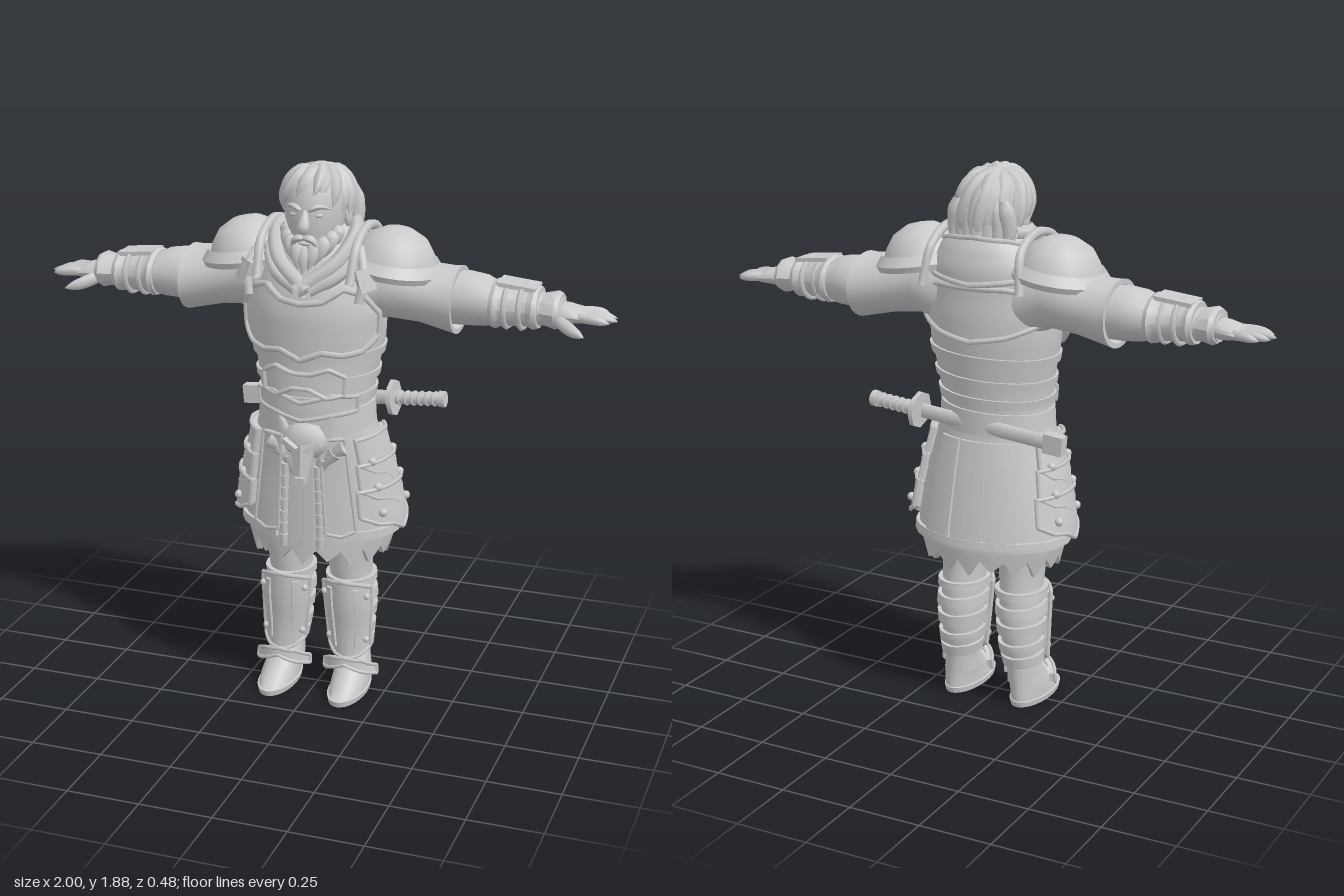
import * as THREE from 'three';
import { toCreasedNormals } from 'three/addons/utils/BufferGeometryUtils.js';

const stone = new THREE.MeshStandardMaterial({ color: 0xcacaca, side: THREE.DoubleSide });
stone.name = 'plain grey';
const V = (x, y, z) => new THREE.Vector3(x, y, z);

function add(parent, name, geo, pos = [0, 0, 0], rot = [0, 0, 0], scale = [1, 1, 1]) {
  const m = new THREE.Mesh(geo, stone);
  m.name = name;
  m.position.set(...pos); m.rotation.set(...rot); m.scale.set(...scale);
  parent.add(m);
  return m;
}
function build(points, index, crease = 0.7) {
  const g = new THREE.BufferGeometry().setFromPoints(points);
  g.setIndex(index);
  return toCreasedNormals(g, crease);
}
function grid(index, cols, rows, start = 0) {
  for (let j = 0; j < rows; j++) for (let i = 0; i < cols; i++) {
    const a = start + j * (cols + 1) + i, b = a + cols + 1;
    index.push(a, a + 1, b + 1, a, b + 1, b);
  }
}
// Closed body of elliptical rings; rows are [t, radiusA, radiusZ, centreZ, centreA]
function loft(rows, axis = 'y', n = 28) {
  const pts = [], idx = [];
  const at = (t, a, z) => axis === 'y' ? V(a, t, z) : V(t, -a, z);
  for (const [t, ra, rz, cz, ca = 0] of rows) for (let i = 0; i <= n; i++) {
    const w = (i % n) / n * Math.PI * 2;
    pts.push(at(t, ra * Math.sin(w) + (axis === 'y' ? ca : -ca), cz + rz * Math.cos(w)));
  }
  grid(idx, n, rows.length - 1);
  [rows[0], rows[rows.length - 1]].forEach(([t, , , cz, ca = 0], k) => {
    const c = pts.push(at(t, axis === 'y' ? ca : -ca, cz)) - 1, s = k * (rows.length - 1) * (n + 1);
    for (let i = 0; i < n; i++) k ? idx.push(c, s + i, s + i + 1) : idx.push(c, s + i + 1, s + i);
  });
  return build(pts, idx);
}
// Point on a lofted body, at an angle from the front and a height
const surface = rows => (a, y, off = 0) => {
  let k = 0;
  while (k < rows.length - 2 && y > rows[k + 1][0]) k++;
  const A = rows[k], B = rows[k + 1], u = THREE.MathUtils.clamp((y - A[0]) / (B[0] - A[0]), 0, 1);
  const m = i => THREE.MathUtils.lerp(A[i] ?? 0, B[i] ?? 0, u);
  return V(m(4) + (m(1) + off) * Math.sin(a), y, m(3) + (m(2) + off) * Math.cos(a));
};
const pick = (list, u) => {
  const f = u * (list.length - 1), i = Math.min(Math.floor(f), list.length - 2);
  return i < 0 ? list[0] : list[i] + (list[i + 1] - list[i]) * (f - i);
};
// Armour plate that follows a body, with top and bottom edges as height lists
function plate(parent, name, surf, a0, a1, top, bottom, off, trim = 0, cols = 24, t = 0.02) {
  const pts = [], idx = [], edge = [], rows = 6;
  for (let j = -1; j <= rows + 1; j++) for (let i = -1; i <= cols + 1; i++) {
    const ci = THREE.MathUtils.clamp(i, 0, cols), cj = THREE.MathUtils.clamp(j, 0, rows), u = ci / cols;
    const y = THREE.MathUtils.lerp(pick(bottom, u), pick(top, u), cj / rows);
    pts.push(surf(a0 + (a1 - a0) * u, y, ci === i && cj === j ? off : off - t));
  }
  grid(idx, cols + 2, rows + 2);
  add(parent, name, build(pts, idx, 0.6));
  if (!trim) return;
  for (let i = 0; i <= cols; i++) edge.push(surf(a0 + (a1 - a0) * i / cols, pick(bottom, i / cols), off));
  for (let i = cols; i >= 0; i--) edge.push(surf(a0 + (a1 - a0) * i / cols, pick(top, i / cols), off));
  const path = new THREE.CatmullRomCurve3(edge, true, 'catmullrom', 0.05);
  add(parent, name + 'Trim', new THREE.TubeGeometry(path, 110, trim, 5, true));
}
// Tapering strand used for hair, beard and fingers
function lock(parent, name, points, r, blunt = 2) {
  const c = new THREE.CatmullRomCurve3(points.map(p => V(...p))), n = 12;
  const g = new THREE.TubeGeometry(c, n, r, 7), p = g.attributes.position, v = V(0, 0, 0);
  for (let i = 0; i < p.count; i++) {
    const u = Math.floor(i / 8) / n, o = c.getPointAt(u);
    const k = Math.max(0.03, (1 - u ** blunt) * Math.min(1, 0.45 + 3 * u));
    v.fromBufferAttribute(p, i).sub(o).multiplyScalar(k).add(o);
    p.setXYZ(i, v.x, v.y, v.z);
  }
  g.computeVertexNormals();
  add(parent, name, g);
}
const rod = (parent, name, points, r, sides = 6) => add(parent, name,
  new THREE.TubeGeometry(new THREE.CatmullRomCurve3(points.map(p => V(...p))), 24, r, sides));
const box = (w, h, d) => new THREE.BoxGeometry(w, h, d);

const skirtRows = [[0.5, 0.24, 0.19, -0.035], [0.61, 0.272, 0.195, -0.04], [0.68, 0.268, 0.19, -0.035],
  [0.85, 0.24, 0.175, -0.02], [1.0, 0.205, 0.165, 0], [1.05, 0.195, 0.16, 0]];
const torsoRows = [[1.0, 0.195, 0.165, 0], [1.08, 0.19, 0.165, 0], [1.2, 0.21, 0.17, -0.01], [1.3, 0.23, 0.18, -0.015],
  [1.4, 0.235, 0.183, -0.015], [1.48, 0.22, 0.172, -0.02], [1.56, 0.2, 0.155, -0.04], [1.63, 0.15, 0.13, -0.045], [1.68, 0.1, 0.1, -0.04]];
const legRows = [[0.08, 0.06, 0.07, -0.035, 0.125], [0.14, 0.055, 0.068, -0.04, 0.122], [0.22, 0.064, 0.078, -0.05, 0.117],
  [0.34, 0.076, 0.09, -0.045, 0.115], [0.42, 0.072, 0.088, -0.04, 0.112], [0.5, 0.078, 0.095, -0.03, 0.11], [0.66, 0.1, 0.1, -0.03, 0.12]];

function makeArm() {
  const g = new THREE.Group();
  g.name = 'arm';
  add(g, 'sleeve', loft([[0.1, 0.15, 0.13, -0.04, 1.44], [0.24, 0.115, 0.13, -0.05, 1.48], [0.35, 0.1, 0.12, -0.06, 1.455],
    [0.45, 0.108, 0.132, -0.06, 1.44], [0.475, 0.112, 0.137, -0.06, 1.438], [0.475, 0.095, 0.12, -0.06, 1.438], [0.44, 0.08, 0.1, -0.06, 1.44]], 'x'));
  add(g, 'forearm', loft([[0.4, 0.085, 0.09, -0.065, 1.44], [0.5, 0.09, 0.1, -0.068, 1.445], [0.56, 0.084, 0.096, -0.065, 1.443],
    [0.6, 0.07, 0.085, -0.06, 1.437], [0.72, 0.056, 0.07, -0.055, 1.435], [0.82, 0.045, 0.055, -0.055, 1.43]], 'x'));
  add(g, 'bracer', loft([[0.59, 0.078, 0.1, -0.06, 1.44], [0.605, 0.084, 0.106, -0.06, 1.44], [0.62, 0.074, 0.094, -0.06, 1.44],
    [0.71, 0.064, 0.078, -0.055, 1.437], [0.73, 0.074, 0.088, -0.055, 1.437], [0.745, 0.068, 0.08, -0.055, 1.437]], 'x', 12));
  add(g, 'bracerPlate', box(0.13, 0.014, 0.1), [0.67, 1.508, -0.06], [0, 0, -0.1]);
  for (const x of [0.64, 0.69]) add(g, 'bracerStrap', new THREE.TorusGeometry(0.075, 0.01, 5, 20), [x, 1.437, -0.056], [0, Math.PI / 2, 0], [1.15, 0.95, 1]);
  add(g, 'gloveCuff', loft([[0.75, 0.05, 0.066, -0.055, 1.435], [0.8, 0.062, 0.08, -0.055, 1.435], [0.815, 0.055, 0.07, -0.055, 1.435]], 'x', 10));
  add(g, 'palm', loft([[0.79, 0.036, 0.05, -0.055, 1.43], [0.84, 0.032, 0.062, -0.058, 1.428], [0.885, 0.023, 0.062, -0.062, 1.424], [0.9, 0.014, 0.056, -0.062, 1.422]], 'x', 16));
  [[0.965, -0.118], [0.992, -0.084], [1, -0.047], [0.98, -0.01]].forEach(([x, z]) =>
    lock(g, 'finger', [[0.86, 1.427, -0.055 + (z + 0.06) * 0.75], [0.93, 1.424, z], [x, 1.416, z]], 0.016, 6));
  lock(g, 'thumb', [[0.8, 1.42, -0.02], [0.86, 1.395, 0.025], [0.91, 1.38, 0.05]], 0.022, 5);
  // Shoulder dome with a flared, raised rim
  const dome = [[0, 0.135], [0.05, 0.128], [0.1, 0.1], [0.128, 0.06], [0.138, 0.035], [0.146, 0.04], [0.172, 0.008], [0.165, -0.012], [0.13, 0]];
  const pad = new THREE.LatheGeometry(dome.map(p => new THREE.Vector2(...p)), 32);
  add(g, 'shoulderPad', toCreasedNormals(pad, 0.6), [0.25, 1.535, -0.045], [0, 0, -0.14], [0.98, 1, 1.02]);
  rod(g, 'shoulderBand', [[0.16, 1.51, 0.15], [0.165, 1.63, 0.09], [0.165, 1.67, -0.04], [0.165, 1.62, -0.16], [0.18, 1.49, -0.2]], 0.016);
  add(g, 'shoulderBuckle', box(0.055, 0.075, 0.03), [0.205, 1.525, 0.125], [-0.3, 0.6, 0.4]);
  rod(g, 'chestStrap', [[0.17, 1.62, 0.07], [0.2, 1.54, 0.125], [0.19, 1.45, 0.145]], 0.016);
  return g;
}

function makeLeg() {
  const g = new THREE.Group(), surf = surface(legRows);
  g.name = 'leg';
  add(g, 'shin', loft(legRows));
  add(g, 'shoe', loft([[0, 0.064, 0.143, 0.033, 0.13], [0.02, 0.068, 0.147, 0.033, 0.13], [0.022, 0.063, 0.14, 0.03, 0.13], [0.05, 0.062, 0.125, 0.015, 0.13],
    [0.08, 0.06, 0.095, -0.012, 0.127], [0.14, 0.056, 0.07, -0.04, 0.123]]));
  for (const y of [0.17, 0.22, 0.29, 0.355])
    plate(g, 'calfBand', surf, 1.1, 5.2, [y + 0.024, y + 0.016, y + 0.024], [y - 0.014, y - 0.024, y - 0.014], 0.013);
  plate(g, 'kneeCuff', surf, 0, Math.PI * 2, [0.43], [0.405], 0.016);
  plate(g, 'shinGuard', surf, -1.1, 1.1, [0.4, 0.42, 0.43, 0.42, 0.4], [0.17, 0.14, 0.13, 0.14, 0.17], 0.025, 0.008);
  for (const a of [-0.5, 0.5]) plate(g, 'shinGuardRib', surf, a - 0.1, a + 0.1, [0.4], [0.17], 0.034);
  plate(g, 'ankleGuard', surf, -1.2, 1.2, [0.1, 0.13, 0.14, 0.13, 0.1], [0.07, 0.09, 0.115, 0.09, 0.07], 0.045, 0.007);
  for (const s of [-1, 1]) for (const y of [0.2, 0.37])
    add(g, 'shinStud', new THREE.SphereGeometry(0.012, 10, 8), surf(s * 0.85, y, 0.028).toArray());
  return g;
}

function makeHead() {
  const g = new THREE.Group();
  g.name = 'head';
  add(g, 'face', loft([[1.5, 0.08, 0.08, -0.04], [1.59, 0.075, 0.085, -0.02], [1.61, 0.07, 0.1, 0.015], [1.65, 0.085, 0.105, 0.02],
    [1.7, 0.098, 0.113, 0.015], [1.77, 0.1, 0.118, 0.012], [1.83, 0.09, 0.1, 0], [1.86, 0.05, 0.06, 0]]));
  lock(g, 'nose', [[0, 1.665, 0.145], [0, 1.69, 0.142], [0, 1.755, 0.118]], 0.022);
  add(g, 'lips', new THREE.SphereGeometry(0.02, 12, 8), [0, 1.632, 0.128], [0, 0, 0], [1.2, 0.4, 0.6]);
  add(g, 'hairCap', new THREE.SphereGeometry(1, 24, 16), [0, 1.735, -0.035], [0, 0, 0], [0.112, 0.135, 0.115]);
  for (const s of [-1, 1]) {
    lock(g, 'eyebrow', [[s * 0.012, 1.74, 0.13], [s * 0.045, 1.753, 0.12], [s * 0.08, 1.74, 0.088]], 0.011);
    add(g, 'eye', new THREE.SphereGeometry(0.013, 12, 8), [s * 0.04, 1.723, 0.113], [0, 0, 0], [1.3, 0.6, 0.7]);
    add(g, 'ear', new THREE.SphereGeometry(0.03, 12, 8), [s * 0.104, 1.7, -0.005], [0, 0, 0], [0.4, 1.1, 0.7]);
    lock(g, 'moustache', [[0, 1.652, 0.138], [s * 0.03, 1.645, 0.136], [s * 0.05, 1.6, 0.12]], 0.014);
  }
  // Beard locks fan around the jaw and gather at the chin
  for (let i = -4; i <= 4; i++) {
    const a = i * 0.33, s = Math.sin(a), c = Math.cos(a), d = Math.abs(i) * 0.014;
    lock(g, 'beardLock', [[s * 0.092, 1.615 + d * 1.2, 0.025 + c * 0.085], [s * 0.085, 1.585 + d, 0.03 + c * 0.105], [s * 0.05, 1.53 + d, 0.03 + c * 0.125]], 0.027);
  }
  // Hair sweeps out from the crown, short in front and long behind
  for (const [count, width, lift, turn] of [[15, 0.036, 0, 0], [11, 0.03, 0.012, 0.25]]) for (let i = 0; i < count; i++) {
    const w = i / count * Math.PI * 2 + turn, back = (1 - Math.cos(w)) / 2, end = 0.95 + 1.0 * Math.sqrt(back);
    const pts = [0.12, 0.45, 0.75, 1].map(u => {
      const f = u * end, tw = w + (1 - u) * 0.55, r = Math.sin(Math.min(f, 1.6));
      return [r * (0.105 + lift) * Math.sin(tw), 1.715 + (0.133 + lift) * Math.cos(f) - Math.max(0, f - 1.6) * 0.15, -0.008 + r * (0.135 + lift) * Math.cos(tw)];
    });
    lock(g, 'hairLock', pts, width, 3);
  }
  for (let i = -3; i <= 3; i++) lock(g, 'napeLock',
    [[i * 0.028, 1.78, -0.125], [i * 0.033, 1.67, -0.15 + Math.abs(i) * 0.012], [i * 0.026, 1.55 + Math.abs(i) * 0.012, -0.165 + Math.abs(i) * 0.01]], 0.03, 3);
  return g;
}

function makeBeltMask() {
  const g = new THREE.Group();
  g.name = 'wolfBuckle';
  add(g, 'wolfSkull', new THREE.IcosahedronGeometry(0.075, 1), [0, 0.97, 0.165], [0, 0, 0], [1.1, 0.9, 0.65]);
  const muzzle = add(g, 'wolfMuzzle', toCreasedNormals(new THREE.CylinderGeometry(0.05, 0.024, 0.13, 6), 0.4), [0, 0.9, 0.198], [-0.2, 0, 0]);
  muzzle.scale.z = 0.7;
  add(g, 'wolfNose', box(0.034, 0.026, 0.026), [0, 0.845, 0.222]);
  for (const s of [-1, 1]) {
    add(g, 'wolfEar', new THREE.ConeGeometry(0.035, 0.1, 4), [s * 0.078, 1.025, 0.165], [0, 0, -s * 0.45], [1, 1, 0.5]);
    add(g, 'wolfBrow', box(0.06, 0.018, 0.025), [s * 0.038, 0.965, 0.213], [0, s * 0.3, s * 0.45]);
    for (let k = 0; k < 3; k++) add(g, 'wolfCheek', new THREE.ConeGeometry(0.026, 0.1, 4),
      [s * (0.09 - k * 0.022), 0.93 - k * 0.035, 0.165], [0, 0, s * (2.1 + k * 0.35)], [1, 1, 0.6]);
  }
  g.position.x = 0.015;
  return g;
}

export function createModel() {
  const root = new THREE.Group(), torso = surface(torsoRows), skirt = surface(skirtRows), full = Math.PI * 2;
  root.name = 'armouredWarrior';
  add(root, 'torso', loft(torsoRows, 'y', 40));
  add(root, 'skirt', loft(skirtRows.slice(1), 'y', 40));
  // Breastplate, belly plates and back plate
  plate(root, 'breastplate', torso, -1.2, 1.2, [1.4, 1.47, 1.49, 1.45, 1.44, 1.45, 1.49, 1.47, 1.4],
    [1.33, 1.28, 1.27, 1.28, 1.25, 1.28, 1.27, 1.28, 1.33], 0.016, 0.011, 32);
  plate(root, 'bellyPlate', torso, -0.7, 0.7, [1.19, 1.22, 1.2, 1.2, 1.22, 1.19], [1.13, 1.12, 1.15, 1.15, 1.12, 1.13], 0.014, 0.009);
  plate(root, 'lowerBellyPlate', torso, -1, 1, [1.12, 1.13, 1.1, 1.13, 1.12], [1.07, 1.06, 1.04, 1.06, 1.07], 0.012, 0.008);
  plate(root, 'backPlate', torso, 2.1, 4.18, [1.48, 1.5, 1.5, 1.5, 1.48], [1.38, 1.34, 1.32, 1.34, 1.38], 0.014, 0.01);
  for (const [y, h] of [[1.25, 0.015], [1.17, 0.013], [1.1, 0.018], [1.05, 0.02], [1.01, 0.022]])
    plate(root, 'waistBand', torso, 0.01, full + 0.01, [y + h, y + h + 0.012, y + h - 0.008, y + h], [y - h, y - h + 0.012, y - h - 0.008, y - h], 0.009, 0, 40);
  // Wrapped collar
  for (const s of [-1, 1]) {
    rod(root, 'lapel', [[s * 0.1, 1.67, -0.09], [s * 0.135, 1.65, 0.01], [s * 0.1, 1.57, 0.1], [-s * 0.02, 1.48, 0.165]], 0.026);
    rod(root, 'scarf', [[s * 0.11, 1.6, -0.1], [s * 0.155, 1.6, 0.02], [s * 0.11, 1.53, 0.11], [s * 0.02, 1.48, 0.15]], 0.022);
  }
  plate(root, 'collar', torso, 1.5, 4.78, [1.62, 1.65, 1.66, 1.65, 1.62], [1.55, 1.53, 1.51, 1.53, 1.55], 0.016, 0.01);
  // Ragged underskirt and hem
  const ragged = Array.from({ length: 37 }, (_, i) => i % 2 ? 0.565 : 0.515 + 0.012 * Math.sin(i));
  plate(root, 'underskirt', skirt, 0, full, [0.65], ragged, -0.005, 0, 72);
  plate(root, 'skirtHem', skirt, 0.35, full - 0.35, [0.64], [0.605, 0.61, 0.6, 0.61, 0.605], 0.012);
  for (let i = 0; i < 3; i++) plate(root, 'backPanel', skirt, 2.45 + i * 0.46, 2.88 + i * 0.46, [0.97], [0.64], 0.009);
  // Front flaps and hanging cords
  plate(root, 'frontCloth', skirt, -0.16, 0.16, [0.95], [0.6, 0.58, 0.61, 0.58, 0.6], 0.012);
  for (const s of [-1, 1]) {
    plate(root, 'frontFlap', skirt, s * 0.3, s * 0.68, [0.98], [0.64, 0.63, 0.65], 0.018, 0.007);
    for (let k = 0; k < 7; k++)
      add(root, 'cordBead', new THREE.CylinderGeometry(0.015, 0.012, 0.042, 8), skirt(s * 0.23, 0.86 - k * 0.043, 0.015).toArray());
    for (let j = 0; j < 3; j++) {
      const b = 0.87 - j * 0.09, w = 0.06 * j, o = 0.022 + j * 0.006;
      plate(root, 'hipPlate', skirt, s * (0.85 - w), s * (2.1 + w), [b + 0.1, b + 0.11, b + 0.1],
        [b + 0.01, b - 0.02, b - 0.03, b - 0.06, b - 0.03, b - 0.02, b + 0.01], o, 0.008);
      for (const a of [1.05, 1.9]) add(root, 'hipStud', new THREE.SphereGeometry(0.015, 10, 8), skirt(s * a, b + 0.02, o + 0.004).toArray());
    }
  }
  // Sword carried level behind the waist
  const sword = new THREE.Group();
  sword.name = 'sword';
  const across = [0, 0, Math.PI / 2];
  add(sword, 'scabbard', new THREE.CylinderGeometry(0.026, 0.026, 0.52, 8), [-0.05, 0, 0], across, [1, 1, 0.6]);
  add(sword, 'scabbardTip', box(0.07, 0.065, 0.04), [-0.295, 0, 0]);
  add(sword, 'guard', new THREE.CylinderGeometry(0.064, 0.064, 0.016, 8), [0.225, 0, 0], across);
  add(sword, 'grip', new THREE.CylinderGeometry(0.022, 0.022, 0.18, 10), [0.315, 0, 0], across);
  for (let k = 0; k < 6; k++) add(sword, 'gripWrap', new THREE.TorusGeometry(0.021, 0.006, 5, 14), [0.25 + k * 0.025, 0, 0], [0, Math.PI / 2 - 0.3, 0]);
  add(sword, 'pommel', new THREE.CylinderGeometry(0.028, 0.028, 0.022, 10), [0.4, 0, 0], across);
  sword.position.set(0, 1.025, -0.155);
  sword.rotation.set(0, -0.03, 0.085);
  root.add(sword);
  root.add(makeHead(), makeBeltMask());
  for (const make of [makeArm, makeLeg]) {
    const left = make(), right = make();
    right.scale.x = -1;
    root.add(left, right);
  }
  return root;
}
